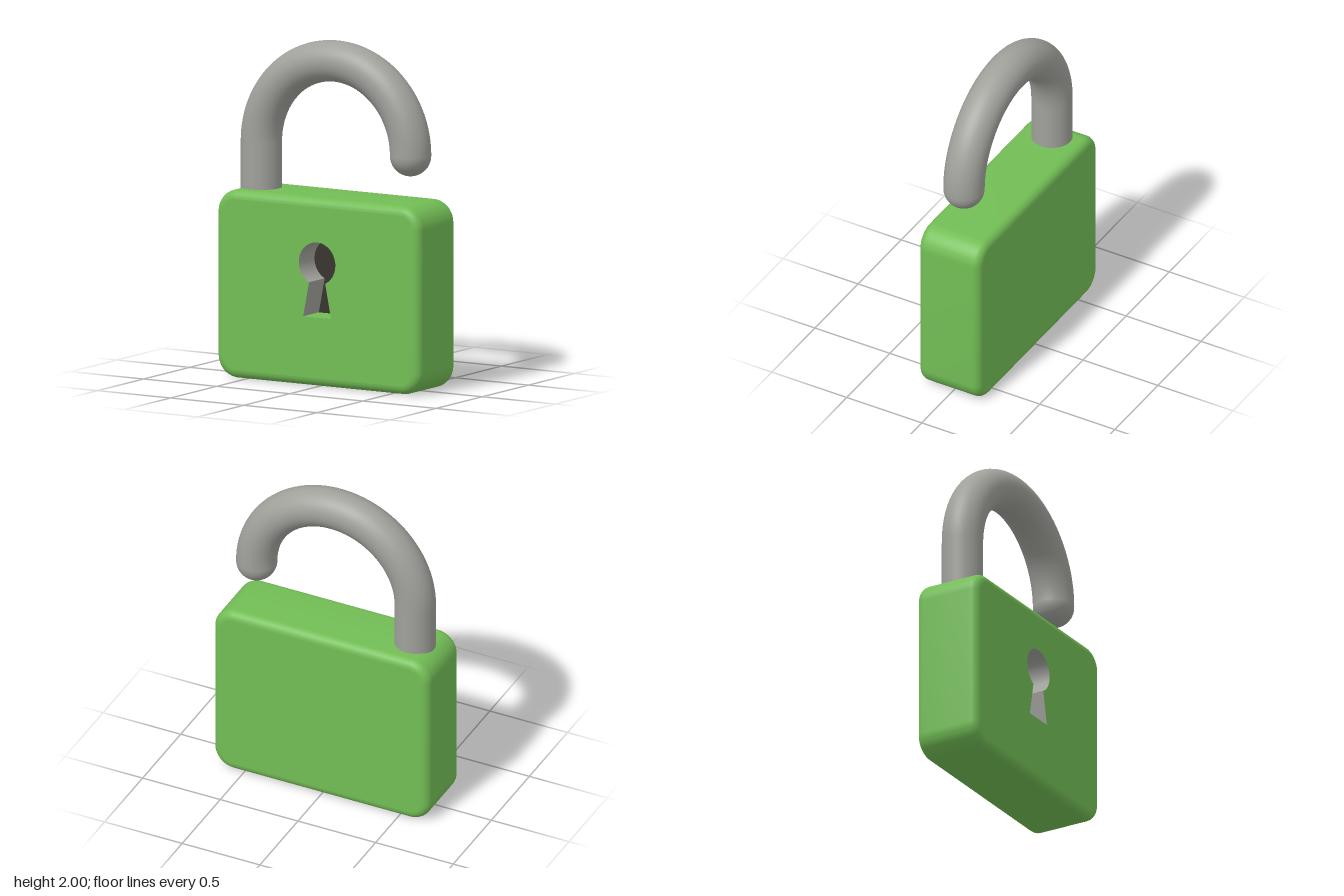
import * as THREE from 'three';
import { toCreasedNormals } from 'three/addons/utils/BufferGeometryUtils.js';

const W = 1.39, H = 1.1, D = 0.41, BEVEL = 0.05, RADIUS = 0.13;
const TUBE = 0.12, BOW = 0.51, BOW_Y = 1.37, KEY_DEPTH = 0.17;

function material(name, color) {
  const m = new THREE.MeshStandardMaterial({ color });
  m.name = name;
  return m;
}

// Rounded rectangle standing on y = inset
function roundedRect(inset) {
  const x = W / 2 - inset, y0 = inset, y1 = H - inset, r = RADIUS - inset;
  const s = new THREE.Shape();
  s.absarc(x - r, y0 + r, r, -Math.PI / 2, 0);
  s.absarc(x - r, y1 - r, r, 0, Math.PI / 2);
  s.absarc(-x + r, y1 - r, r, Math.PI / 2, Math.PI);
  s.absarc(-x + r, y0 + r, r, Math.PI, Math.PI * 1.5);
  s.closePath();
  return s;
}

// Counter-clockwise keyhole outline: round top and flared slot
function keyholePoints() {
  const r = 0.125, cy = 0.72, a = Math.asin(0.055 / r), n = 40;
  const pts = [new THREE.Vector2(-0.095, 0.405), new THREE.Vector2(0.095, 0.405)];
  for (let i = 0; i <= n; i++) {
    const t = -Math.PI / 2 + a + (i / n) * (2 * Math.PI - 2 * a);
    pts.push(new THREE.Vector2(r * Math.cos(t), cy + r * Math.sin(t)));
  }
  return pts;
}

// Inward-facing walls along a run of outline points
function recessWalls(pts, zFront, zBack) {
  const v = [];
  for (let i = 0; i < pts.length - 1; i++) {
    const a = pts[i], b = pts[i + 1];
    v.push(a.x, a.y, zFront, b.x, b.y, zFront, b.x, b.y, zBack);
    v.push(a.x, a.y, zFront, b.x, b.y, zBack, a.x, a.y, zBack);
  }
  const g = new THREE.BufferGeometry();
  g.setAttribute('position', new THREE.Float32BufferAttribute(v, 3));
  return toCreasedNormals(g, 0.5);
}

export function createModel() {
  const model = new THREE.Group();
  model.name = 'openPadlock';
  const green = material('bodyGreen', 0x72bd55);
  const grey = material('steelGrey', 0xa0a19b);
  const dark = material('keyholeDark', 0x38342d);

  const add = (parent, name, geometry, mat, x = 0, y = 0, z = 0) => {
    const mesh = new THREE.Mesh(geometry, mat);
    mesh.name = name;
    mesh.position.set(x, y, z);
    parent.add(mesh);
    return mesh;
  };

  // Body: bevelled rim without its lids, closed by flat front and back plates
  const body = new THREE.Group();
  body.name = 'body';
  model.add(body);
  const solid = new THREE.ExtrudeGeometry(roundedRect(0), {
    depth: D - 2 * BEVEL, bevelThickness: BEVEL, bevelSize: BEVEL,
    bevelOffset: -BEVEL, bevelSegments: 6, curveSegments: 10,
  });
  const start = solid.groups[1].start;
  const rim = new THREE.BufferGeometry();
  rim.setAttribute('position', new THREE.Float32BufferAttribute(
    solid.attributes.position.array.slice(start * 3), 3));
  rim.translate(0, 0, BEVEL - D / 2);
  add(body, 'bodyRim', toCreasedNormals(rim, 0.7), green);

  const key = keyholePoints();
  const front = roundedRect(BEVEL);
  front.holes.push(new THREE.Path(key));
  add(body, 'frontPlate', new THREE.ShapeGeometry(front, 10), green, 0, 0, D / 2);
  add(body, 'backPlate', new THREE.ShapeGeometry(roundedRect(BEVEL), 10), green, 0, 0, -D / 2)
    .rotation.y = Math.PI;

  // Keyhole recess
  const keyhole = new THREE.Group();
  keyhole.name = 'keyhole';
  model.add(keyhole);
  const zBack = D / 2 - KEY_DEPTH;
  add(keyhole, 'keyholeLedge', recessWalls(key.slice(0, 2), D / 2, zBack), green);
  add(keyhole, 'keyholeWalls', recessWalls([...key.slice(1), key[0]], D / 2, zBack), grey);
  add(keyhole, 'keyholeBack', new THREE.ShapeGeometry(new THREE.Shape(key)), dark, 0, 0, zBack);

  // Shackle: leg in the body, half-ring bow, rounded free end
  const shackle = new THREE.Group();
  shackle.name = 'shackle';
  model.add(shackle);
  const legBottom = H - 0.05;
  add(shackle, 'shackleLeg',
    new THREE.CylinderGeometry(TUBE, TUBE, BOW_Y - legBottom, 40, 1, true),
    grey, -BOW, (BOW_Y + legBottom) / 2, 0);
  add(shackle, 'shackleBow', new THREE.TorusGeometry(BOW, TUBE, 40, 64, Math.PI), grey, 0, BOW_Y, 0);
  add(shackle, 'shackleTip',
    new THREE.SphereGeometry(TUBE, 40, 16, 0, Math.PI * 2, Math.PI / 2, Math.PI / 2),
    grey, BOW, BOW_Y, 0);

  return model;
}
